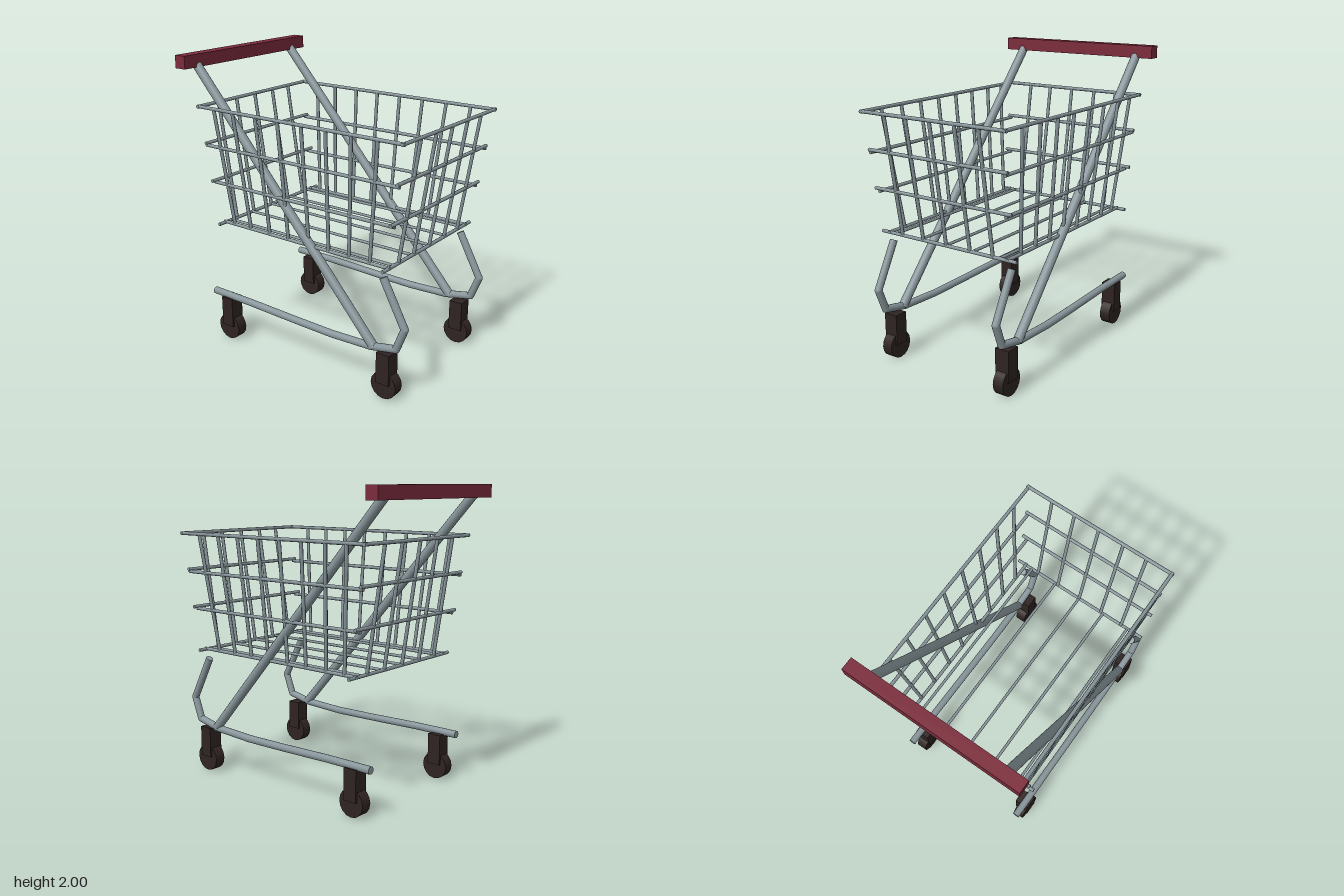
import * as THREE from 'three';

const metal = new THREE.MeshStandardMaterial({ color: 0x87959a });
metal.name = 'steel grey';
const red = new THREE.MeshStandardMaterial({ color: 0x7b2b3b });
red.name = 'handle red';
const dark = new THREE.MeshStandardMaterial({ color: 0x2e2322 });
dark.name = 'caster brown';

const UP = new THREE.Vector3(0, 1, 0);
const lerp = THREE.MathUtils.lerp;

// Capped round bar between two points
function bar(parent, name, a, b, radius, sides = 8) {
  const p = new THREE.Vector3(...a), q = new THREE.Vector3(...b);
  const d = q.clone().sub(p);
  const mesh = new THREE.Mesh(new THREE.CylinderGeometry(radius, radius, d.length(), sides), metal);
  mesh.position.copy(p).add(q).multiplyScalar(0.5);
  mesh.quaternion.setFromUnitVectors(UP, d.normalize());
  mesh.name = name;
  parent.add(mesh);
}

function group(parent, name) {
  const g = new THREE.Group();
  g.name = name;
  parent.add(g);
  return g;
}

// Basket walls lean outward: t = 0 at the floor, 1 at the rim
const Y0 = 0.875, Y1 = 1.67, WIRE = 0.012;
const sideX = (t) => lerp(0.465, 0.54, t);
const frontZ = (t) => lerp(0.72, 0.85, t);
const backZ = (t) => lerp(-0.61, -0.735, t);
const level = (y) => (y - Y0) / (Y1 - Y0);

function buildBasket(parent) {
  const basket = group(parent, 'basket');

  // Rails running along both sides
  for (const y of [0.875, 1.155, 1.41, 1.67]) {
    const t = level(y);
    for (const s of [-1, 1])
      bar(basket, 'sideRail', [s * sideX(t), y, backZ(t) - 0.01], [s * sideX(t), y, frontZ(t) + 0.01], WIRE);
  }
  // Rails across the front and back
  for (const [y, half] of [[0.872, 0.53], [1.17, 0.53], [1.425, 0.532], [1.67, 0.553]]) {
    const t = level(y);
    for (const z of [frontZ(t), backZ(t)]) bar(basket, 'crossRail', [-half, y, z], [half, y, z], WIRE);
  }
  // Upright wires in the front and back walls
  for (const x of [-0.357, -0.185, 0, 0.185, 0.357])
    for (const f of [frontZ, backZ]) bar(basket, 'endWire', [x, Y0, f(0)], [x, Y1, f(1)], WIRE);

  // Upright wires in the side walls, fanning outward
  const tops = [0.68, 0.495, 0.31, 0.125, -0.062, -0.245, -0.435, -0.6];
  const feet = [0.585, 0.43, 0.272, 0.115, -0.055, -0.212, -0.378, -0.525];
  tops.forEach((z, i) => {
    for (const s of [-1, 1])
      bar(basket, 'sideWire', [s * sideX(0), Y0, feet[i]], [s * sideX(1), Y1, z], WIRE);
  });
  // Floor wires
  for (const x of [-0.41, -0.205, 0, 0.205, 0.41])
    bar(basket, 'floorWire', [x, Y0, backZ(0)], [x, Y0, frontZ(0)], 0.01);
}

function buildFrame(parent, s) {
  const frame = group(parent, s > 0 ? 'leftFrame' : 'rightFrame');
  const x = s * 0.47;
  bar(frame, 'handlePost', [x, 0.32, 0.63], [x, 1.95, -0.825], 0.031, 16);

  // Base tube, curling up at the front: [y, z]
  const path = [[0.81, 0.687], [0.51, 0.848], [0.36, 0.79], [0.322, 0.6],
    [0.31, 0.3], [0.315, 0], [0.326, -0.4], [0.328, -0.735]];
  path.forEach(([y, z], i) => {
    if (i === 0) return;
    bar(frame, 'baseTube', [x, ...path[i - 1]], [x, y, z], 0.025, 16);
    if (i === path.length - 1) return;
    const joint = new THREE.Mesh(new THREE.SphereGeometry(0.025, 16, 10), metal);
    joint.position.set(x, y, z);
    joint.name = 'baseTubeBend';
    frame.add(joint);
  });
}

function buildCaster(parent, x, z) {
  const caster = group(parent, 'caster');
  caster.position.set(x, 0, z);
  const fork = new THREE.Mesh(new THREE.BoxGeometry(0.1, 0.21, 0.095), dark);
  fork.position.y = 0.21;
  fork.name = 'fork';
  const wheel = new THREE.Mesh(new THREE.CylinderGeometry(0.092, 0.092, 0.074, 16), dark);
  wheel.rotation.z = Math.PI / 2;
  wheel.position.y = 0.092;
  wheel.name = 'wheel';
  caster.add(fork, wheel);
}

export function createModel() {
  const cart = new THREE.Group();
  cart.name = 'shoppingCart';

  buildBasket(cart);
  for (const s of [-1, 1]) buildFrame(cart, s);
  for (const x of [-0.456, 0.451])
    for (const z of [0.715, -0.597]) buildCaster(cart, x, z);

  const handle = new THREE.Mesh(new THREE.BoxGeometry(1.2, 0.085, 0.085), red);
  handle.position.set(0, 1.9575, -0.823);
  handle.name = 'handle';
  cart.add(handle);
  return cart;
}
